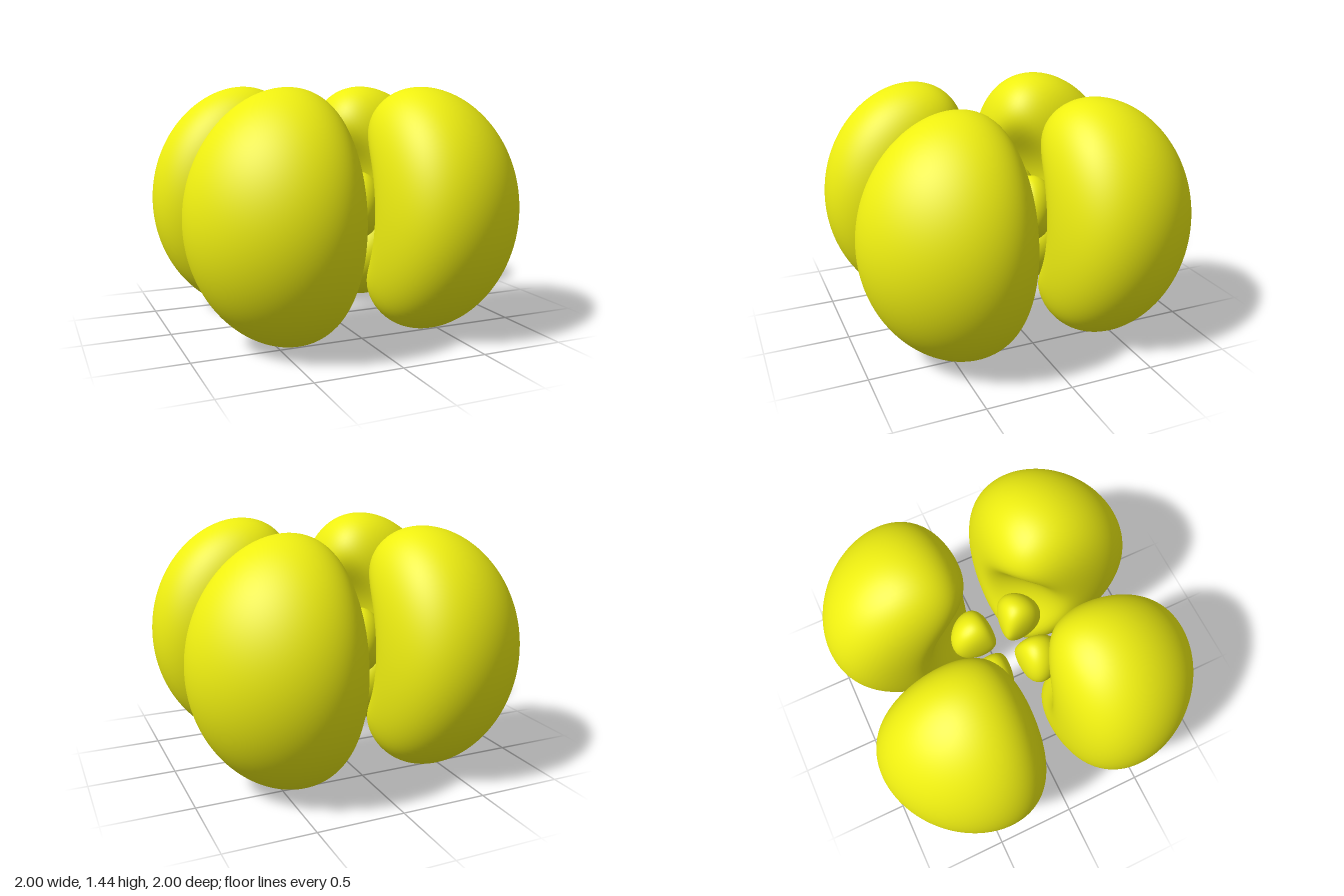
import * as THREE from 'three';
import { mergeVertices } from 'three/addons/utils/BufferGeometryUtils.js';

const K = 14.8;        // radial scale of the wave function
const NODE = 6;        // radius of the spherical node, in scaled units
const MID_Y = 0.72;    // height of the centre of symmetry

// Four-lobed d-type wave function in the +x +z quadrant; sign +1 outside the node, -1 inside
function density(p, sign) {
  const x = Math.max(p.x, 0) * K, z = Math.max(p.z, 0) * K, rho = p.length() * K;
  return sign * 2 * x * z * (rho - NODE) * Math.exp(-rho / 2);
}

// Closed smooth lobe: a sphere whose points are pushed out to the level surface
function lobeGeometry(center, sign, level, reach, detail) {
  let geo = new THREE.IcosahedronGeometry(1, detail);
  geo.deleteAttribute('uv');
  geo.deleteAttribute('normal');
  geo = mergeVertices(geo, 1e-5);
  const pos = geo.attributes.position;
  const dir = new THREE.Vector3(), p = new THREE.Vector3();
  for (let i = 0; i < pos.count; i++) {
    dir.fromBufferAttribute(pos, i).normalize();
    let lo = 0, hi = reach;
    for (let n = 0; n < 32; n++) {
      const mid = (lo + hi) / 2;
      p.copy(center).addScaledVector(dir, mid);
      if (density(p, sign) > level) lo = mid; else hi = mid;
    }
    p.copy(center).addScaledVector(dir, lo);
    pos.setXYZ(i, p.x, p.y, p.z);
  }
  return geo;
}

export function createModel() {
  const model = new THREE.Group();
  model.name = 'fourLobedOrbital';
  const yellow = new THREE.MeshStandardMaterial({ color: 0xeeee11 });

  // Large kidney-shaped lobe and the small rounded lobe inside the node
  const outer = lobeGeometry(new THREE.Vector3(0.53, 0, 0.53), 1, 0.61, 1.2, 26);
  const inner = lobeGeometry(new THREE.Vector3(0.15, 0, 0.15), -1, 1.8, 0.5, 14);
  inner.scale(0.955, 1, 0.955);
  inner.translate(0.013, 0, 0.013);
  for (const geo of [outer, inner]) geo.computeVertexNormals();

  // One pair of lobes in each quadrant
  const corners = ['frontLeft', 'backLeft', 'backRight', 'frontRight'];
  corners.forEach((corner, i) => {
    const quadrant = new THREE.Group();
    quadrant.name = corner + 'Lobes';
    const big = new THREE.Mesh(outer, yellow);
    big.name = corner + 'OuterLobe';
    const small = new THREE.Mesh(inner, yellow);
    small.name = corner + 'InnerLobe';
    quadrant.add(big, small);
    quadrant.rotation.y = i * Math.PI / 2;
    quadrant.position.y = MID_Y;
    model.add(quadrant);
  });
  return model;
}
